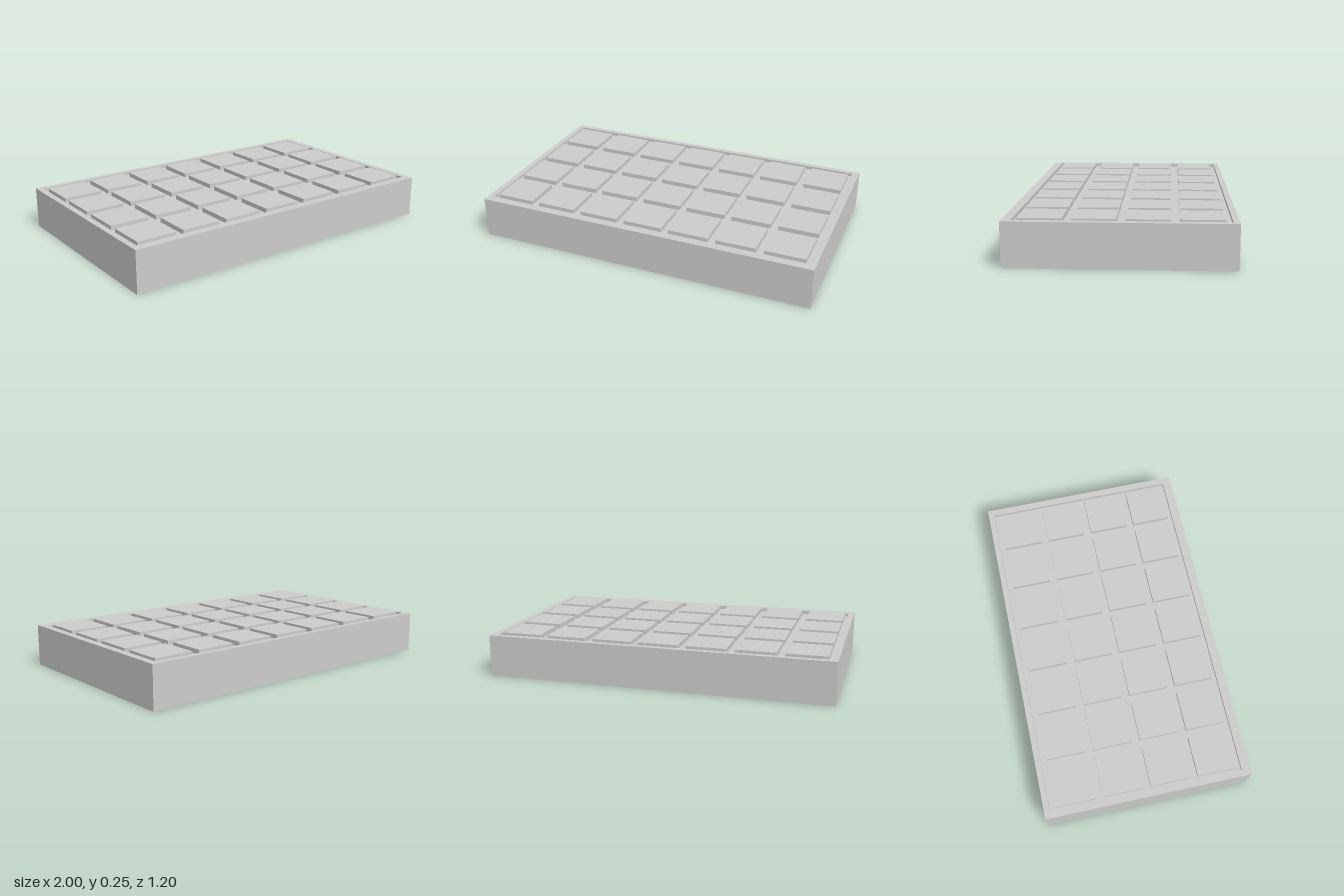
import * as THREE from 'three';

const material = new THREE.MeshStandardMaterial({ color: 0xcccccc, flatShading: true });

const WIDTH = 2, DEPTH = 1.2;
const RIM_TOP = 0.242, FLOOR = 0.222, TILE_TOP = 0.248;
const RECESS = { x0: -0.965, x1: 0.96, z0: -0.567, z1: 0.55 };
const COLS = 7, ROWS = 4, TILE = 0.23, PITCH = 0.276;

function rectangle(PathType, x0, x1, z0, z1) {
  // Shape y maps to -z once the extrusion is laid flat
  return new PathType([[x0, -z1], [x1, -z1], [x1, -z0], [x0, -z0]].map(([x, y]) => new THREE.Vector2(x, y)));
}

function addSlab(group, name, shape, bottom, top) {
  const geometry = new THREE.ExtrudeGeometry(shape, { depth: top - bottom, bevelEnabled: false });
  geometry.rotateX(-Math.PI / 2);
  const mesh = new THREE.Mesh(geometry, material);
  mesh.name = name;
  mesh.position.y = bottom;
  group.add(mesh);
}

export function createModel() {
  const model = new THREE.Group();
  model.name = 'tray';
  const outline = () => rectangle(THREE.Shape, -WIDTH / 2, WIDTH / 2, -DEPTH / 2, DEPTH / 2);

  // Solid base up to the recess floor
  addSlab(model, 'base', outline(), 0, FLOOR);

  // Thin raised rim around the recess
  const rim = outline();
  rim.holes.push(rectangle(THREE.Path, RECESS.x0, RECESS.x1, RECESS.z0, RECESS.z1));
  addSlab(model, 'rim', rim, FLOOR, RIM_TOP);

  // Grid of square tiles standing just proud of the rim
  const tiles = new THREE.Group();
  tiles.name = 'tiles';
  const tileGeometry = new THREE.BoxGeometry(TILE, TILE_TOP - FLOOR, TILE);
  for (let row = 0; row < ROWS; row++) {
    for (let col = 0; col < COLS; col++) {
      const tile = new THREE.Mesh(tileGeometry, material);
      tile.name = `tile${row + 1}_${col + 1}`;
      tile.position.set(
        (col - (COLS - 1) / 2) * PITCH - 0.003,
        (TILE_TOP + FLOOR) / 2,
        (row - (ROWS - 1) / 2) * PITCH - 0.004,
      );
      tiles.add(tile);
    }
  }
  model.add(tiles);
  return model;
}
